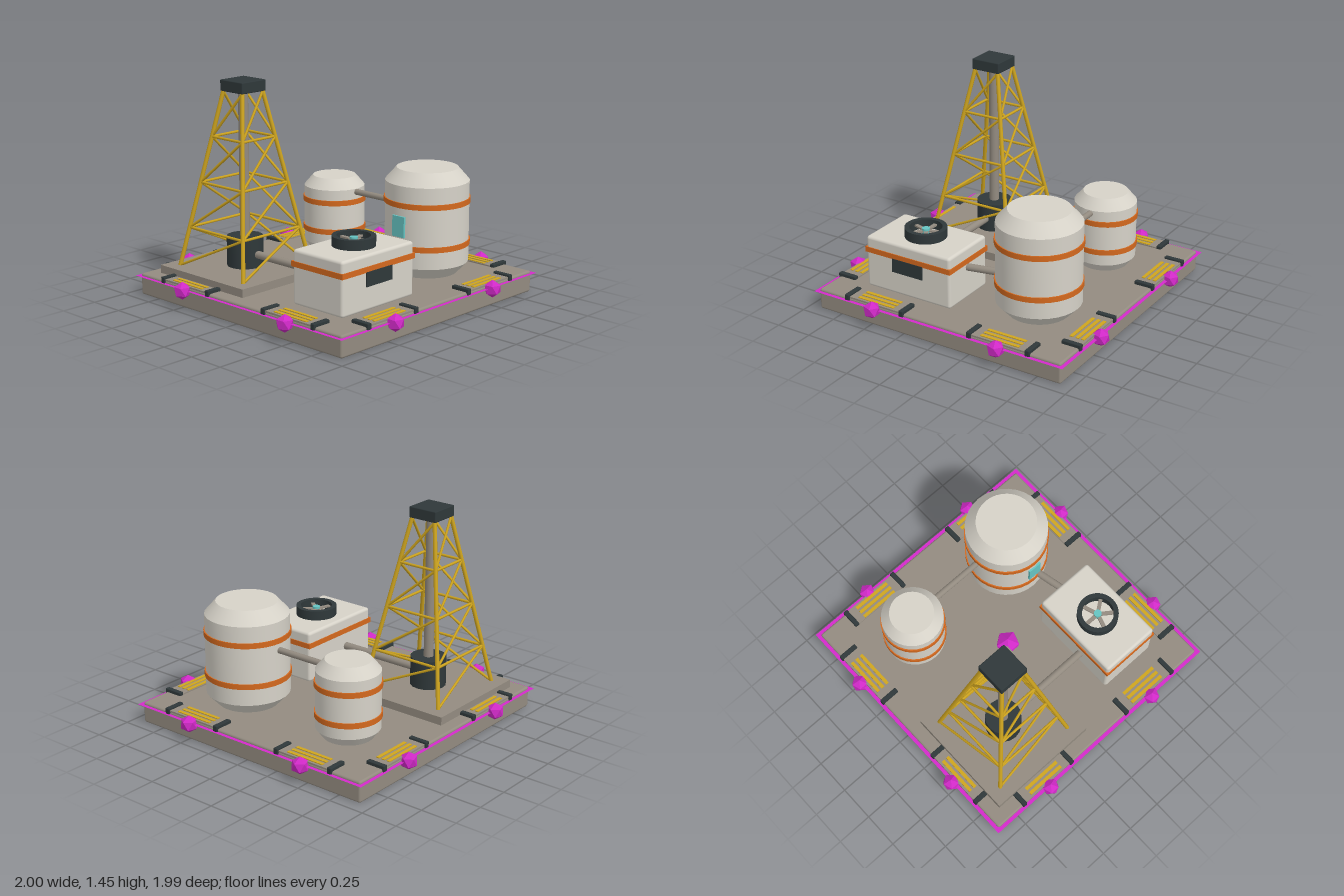
import * as THREE from 'three';
import { toCreasedNormals } from 'three/addons/utils/BufferGeometryUtils.js';
import { RoundedBoxGeometry } from 'three/addons/geometries/RoundedBoxGeometry.js';

const material = (name, color, extra = {}) => {
  const m = new THREE.MeshStandardMaterial({ color, ...extra });
  m.name = name;
  return m;
};

export function createModel() {
  const stone = material('warm grey', 0x938b80);
  const shell = material('off white', 0xd6d2c8);
  const orange = material('orange', 0xd4691e);
  const yellow = material('yellow', 0xcfa51f);
  const dark = material('charcoal', 0x2f383a);
  const magenta = material('magenta', 0xd42acb, { side: THREE.DoubleSide });
  const crystal = material('crystal magenta', 0xcf29c6, { flatShading: true });
  const teal = material('teal', 0x66c4c2);

  const model = new THREE.Group();
  model.name = 'refineryPlatform';

  const add = (parent, name, geometry, mat, x = 0, y = 0, z = 0) => {
    const mesh = new THREE.Mesh(geometry, mat);
    mesh.name = name;
    mesh.position.set(x, y, z);
    parent.add(mesh);
    return mesh;
  };
  const group = (name, x = 0, y = 0, z = 0, parent = model) => {
    const g = new THREE.Group();
    g.name = name;
    g.position.set(x, y, z);
    parent.add(g);
    return g;
  };
  const box = (w, h, d) => new THREE.BoxGeometry(w, h, d);
  const rod = (parent, name, a, b, r, mat, sides = 12) => {
    const from = new THREE.Vector3(...a), to = new THREE.Vector3(...b);
    const dir = to.clone().sub(from);
    const mesh = add(parent, name, new THREE.CylinderGeometry(r, r, dir.length(), sides), mat);
    mesh.position.copy(from).add(to).multiplyScalar(0.5);
    mesh.quaternion.setFromUnitVectors(new THREE.Vector3(0, 1, 0), dir.normalize());
    return mesh;
  };
  const lathe = (points, segments = 32) => toCreasedNormals(
    new THREE.LatheGeometry(points.map(p => new THREE.Vector2(...p)), segments), 0.5);

  // Platform slab with its thin glowing border
  add(model, 'platform', new RoundedBoxGeometry(1.84, 0.145, 1.84, 2, 0.015), stone, 0, 0.0725, 0);
  const border = new THREE.Shape();
  const square = (path, s) => path.moveTo(-s, -s).lineTo(s, -s).lineTo(s, s).lineTo(-s, s).closePath();
  square(border, 0.945);
  const hole = new THREE.Path();
  square(hole, 0.9);
  border.holes.push(hole);
  const borderGeometry = new THREE.ShapeGeometry(border).rotateX(-Math.PI / 2);
  add(model, 'platformBorder', borderGeometry, magenta, 0, 0.128, 0);

  // Crystals stand on one vertex
  const gem = (parent, r, x, z) => add(parent, 'crystal',
    new THREE.IcosahedronGeometry(r, 0).rotateZ(-0.5536), crystal, x, 0.125, z);
  gem(model, 0.09, 0, 0);
  for (const s of [-1, 1]) for (const t of [-1, 1]) {
    gem(model, 0.06, 0.945 * s, 0.472 * t);
    gem(model, 0.06, 0.472 * t, 0.945 * s);
  }

  // Two docking plates on every side
  for (let side = 0; side < 4; side++) {
    const edge = group('edgeDocks');
    edge.rotation.y = side * Math.PI / 2;
    for (const s of [-1, 1]) {
      const dock = group('dock', 0.472 * s, 0, 0, edge);
      add(dock, 'dockPlate', box(0.4, 0.012, 0.125), stone, 0, 0.148, 0.858);
      for (const e of [-1, 1])
        add(dock, 'dockClamp', new RoundedBoxGeometry(0.034, 0.045, 0.136, 1, 0.006), dark, 0.214 * e, 0.145, 0.862);
      for (const z of [0.812, 0.853, 0.893])
        add(dock, 'dockStripe', box(0.28, 0.006, 0.023), yellow, 0, 0.156, z);
    }
  }

  // Storage tanks: chamfered drum with two bands
  const tank = (name, x, z, r, ends, heights, bands) => {
    const [y0, y1, y2, y3] = heights;
    const g = group(name, x, 0, z);
    add(g, 'tankShell', lathe([[0, y0], [ends[0], y0], [r, y1], [r, y2], [ends[1], y3], [0, y3]]), shell);
    for (const y of bands)
      add(g, 'tankBand', lathe([[r - 0.01, y - 0.018], [r + 0.008, y - 0.018], [r + 0.008, y + 0.018], [r - 0.01, y + 0.018]]), orange);
    return g;
  };
  const largeTank = tank('largeTank', 0.45, 0.4, 0.28, [0.205, 0.205], [0.145, 0.225, 0.77, 0.855], [0.358, 0.642]);
  add(largeTank, 'gaugeWindow', box(0.02, 0.14, 0.1), teal, -0.28, 0.5, 0);
  tank('smallTank', 0.45, -0.45, 0.21, [0.165, 0.15], [0.145, 0.205, 0.595, 0.665], [0.3, 0.505]);

  // Machine house with a vent fan
  const house = group('machineHouse', -0.358, 0, 0.491);
  add(house, 'houseBody', new RoundedBoxGeometry(0.655, 0.36, 0.425, 3, 0.02), shell, 0, 0.32, 0);
  add(house, 'houseBand', box(0.667, 0.036, 0.437), orange, 0, 0.407, 0);
  add(house, 'frontVent', box(0.236, 0.095, 0.02), dark, 0, 0.345, 0.211);
  const fan = group('fan', 0, 0, 0, house);
  add(fan, 'fanRing', lathe([[0.108, 0.495], [0.14, 0.495], [0.14, 0.565], [0.108, 0.565], [0.108, 0.495]]), dark);
  for (let i = 0; i < 5; i++) {
    const arm = group('fanArm', 0, 0.535, 0, fan);
    arm.rotation.y = i * Math.PI * 2 / 5;
    add(arm, 'fanBlade', box(0.026, 0.012, 0.1), stone, 0, 0, -0.06);
  }
  add(fan, 'fanHub', new THREE.CylinderGeometry(0.026, 0.026, 0.04, 16), teal, 0, 0.535, 0);

  // Connecting pipes
  rod(model, 'tankPipe', [0.45, 0.573, -0.27], [0.45, 0.573, 0.15], 0.021, stone);
  rod(model, 'housePipe', [-0.08, 0.36, 0.505], [0.22, 0.36, 0.44], 0.025, stone);
  rod(model, 'wellPipe', [-0.425, 0.29, -0.43], [-0.425, 0.29, 0.3], 0.026, stone);

  // Drilling tower on its pad
  const tower = group('drillTower', -0.427, 0, -0.43);
  add(tower, 'towerPad', box(0.795, 0.06, 0.795), stone, 0, 0.17, 0);
  add(tower, 'wellHead', new THREE.CylinderGeometry(0.122, 0.122, 0.2, 16), dark, 0, 0.3, 0);
  rod(tower, 'drillMast', [0, 0.2, 0], [0, 1.38, 0], 0.033, stone, 16);
  add(tower, 'towerCap', new RoundedBoxGeometry(0.21, 0.075, 0.21, 1, 0.006), dark, 0, 1.408, 0);

  // Four tapering lattice faces, each a quarter turn apart
  const half = y => 0.305 + (0.09 - 0.305) * (y - 0.2) / 1.17;
  const levels = [0.2, 0.46, 0.765, 1.07, 1.37];
  for (let side = 0; side < 4; side++) {
    const face = group('latticeFace', 0, 0, 0, tower);
    face.rotation.y = side * Math.PI / 2;
    const corner = (s, y) => [s * half(y), y, half(y)];
    rod(face, 'towerLeg', corner(-1, 0.195), corner(-1, 1.38), 0.014, yellow, 8);
    for (let i = 0; i < 4; i++) {
      if (i > 0) rod(face, 'crossBar', corner(-1, levels[i]), corner(1, levels[i]), 0.009, yellow, 6);
      rod(face, 'diagonalBrace', corner(-1, levels[i]), corner(1, levels[i + 1]), 0.009, yellow, 6);
    }
  }

  return model;
}
